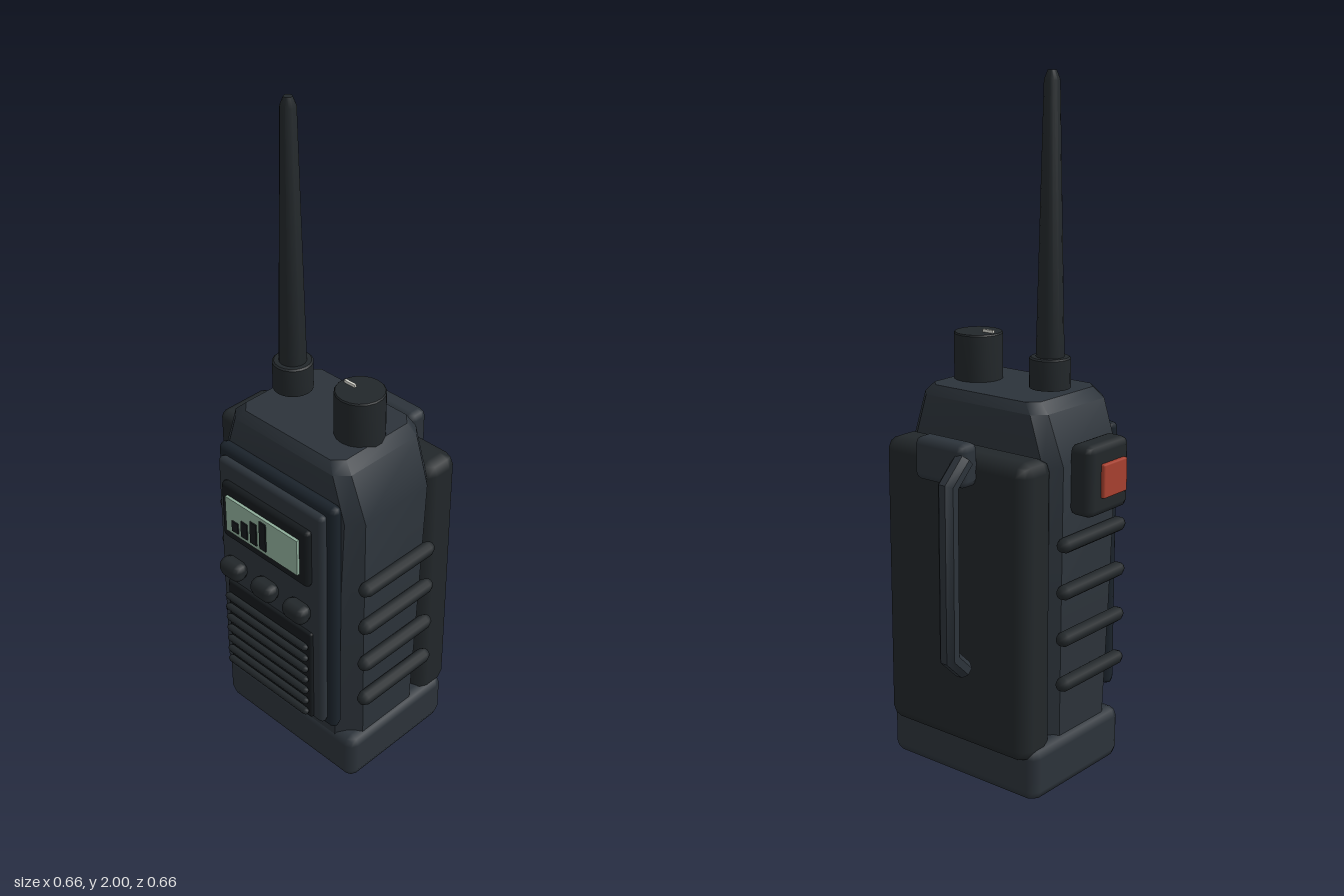
import * as THREE from 'three';
import { toCreasedNormals } from 'three/addons/utils/BufferGeometryUtils.js';
import { RoundedBoxGeometry } from 'three/addons/geometries/RoundedBoxGeometry.js';

const mat = (color) => new THREE.MeshStandardMaterial({ color });
const CX = 0.025; // centre line of the case

export function createModel() {
  const model = new THREE.Group();
  model.name = 'handheldRadio';
  const shell = mat(0x2c333a), dark = mat(0x22272a), panel = mat(0x1b232b);
  const black = mat(0x15191c), green = mat(0x8fae9b), red = mat(0xa8402f), white = mat(0xd8d8d0);

  const add = (name, geometry, material) => {
    const mesh = new THREE.Mesh(geometry, material);
    mesh.name = name;
    model.add(mesh);
    return mesh;
  };
  // Box given by its extents, with chamfered edges of size r
  const block = (name, [x0, x1], [y0, y1], [z0, z1], r, material) => {
    const size = [x1 - x0, y1 - y0, z1 - z0];
    const geo = r ? new RoundedBoxGeometry(...size, 1, r) : new THREE.BoxGeometry(...size);
    geo.translate((x0 + x1) / 2, (y0 + y1) / 2, (z0 + z1) / 2);
    return add(name, geo, material);
  };
  // Turned part standing at x, z
  const turned = (name, profile, sides, x, z, material) => {
    const geo = new THREE.LatheGeometry(profile.map(([r, y]) => new THREE.Vector2(r, y)), sides);
    return add(name, toCreasedNormals(geo, 0.6).translate(x, 0, z), material);
  };

  // Case: chamfered rectangles lofted upward, [y, half width, zBack, zFront, chamfer]
  add('body', loft([
    [0.1, 0, 0.06, 0.06, 0],
    [0.1, 0.252, -0.1, 0.222, 0.06],
    [0.5, 0.262, -0.1, 0.225, 0.05],
    [0.96, 0.273, -0.1, 0.225, 0.04],
    [1.1, 0.224, -0.1, 0.225, 0.035],
    [1.13, 0.193, -0.088, 0.208, 0.03],
    [1.13, 0, 0.06, 0.06, 0],
  ]), shell);
  block('baseCap', [-0.248, 0.294], [0, 0.16], [-0.18, 0.228], 0.03, shell);
  block('batteryPack', [-0.235, 0.285], [0.12, 0.99], [-0.206, -0.08], 0.038, dark);

  // Stepped front panel
  block('frontPanel', [-0.205, 0.253], [0.21, 1.02], [0.222, 0.26], 0.018, panel);
  block('frontPlate', [-0.18, 0.23], [0.235, 0.995], [0.255, 0.284], 0.014, shell);

  // Display with signal bars
  block('screenBezel', [-0.148, 0.195], [0.745, 0.937], [0.278, 0.304], 0.012, black);
  block('screen', [-0.12, 0.165], [0.783, 0.902], [0.295, 0.313], 0, green);
  [0.832, 0.85, 0.87, 0.891].forEach((top, i) => {
    const x = -0.093 + i * 0.0375;
    block('signalBar', [x, x + 0.025], [0.797, top], [0.31, 0.317], 0, black);
  });

  // Key row
  for (const x of [-0.107, 0.023, 0.152]) {
    block('key', [x - 0.042, x + 0.042], [0.615, 0.672], [0.28, 0.332], 0.02, dark);
  }

  // Speaker grille
  block('grillePlate', [-0.148, 0.195], [0.245, 0.57], [0.278, 0.294], 0.006, black);
  for (let i = 0; i < 7; i++) {
    const slat = new THREE.CapsuleGeometry(0.011, 0.315, 2, 8).rotateZ(Math.PI / 2);
    add('grilleSlat', slat.translate(CX, 0.275 + i * 0.0417, 0.306), dark);
  }

  // Side grip ribs
  for (const side of [-1, 1]) {
    for (const y of [0.33, 0.465, 0.603, 0.74]) {
      const rib = new THREE.CapsuleGeometry(0.022, 0.25, 2, 10).rotateX(Math.PI / 2);
      add('gripRib', rib.translate(CX + side * 0.281, y, 0.063), dark);
    }
  }

  // Talk button
  block('talkButtonHousing', [-0.318, -0.24], [0.815, 1.02], [-0.03, 0.152], 0.022, dark);
  block('talkButton', [-0.33, -0.305], [0.868, 0.965], [0.017, 0.125], 0.005, red);

  // Aerial
  turned('antennaCollar', [[0, 1.145], [0.058, 1.145], [0.058, 1.228], [0.053, 1.232], [0, 1.232]],
    20, -0.118, 0.045, dark);
  turned('antenna', [[0, 1.22], [0.04, 1.22], [0.022, 1.975], [0.012, 2], [0, 2]],
    14, -0.118, 0.045, dark);

  // Volume knob
  turned('knob', [[0, 1.12], [0.071, 1.12], [0.071, 1.262], [0.068, 1.266], [0, 1.266]],
    18, 0.156, 0.062, dark);
  block('knobMark', [0.1, 0.138], [1.26, 1.274], [0.058, 0.066], 0, white);

  // Belt clip
  block('clipMount', [-0.066, 0.115], [0.905, 1.03], [-0.264, -0.195], 0.022, shell);
  const path = new THREE.CurvePath();
  const points = [[0.985, -0.243], [0.925, -0.306], [0.435, -0.306], [0.383, -0.252]]
    .map(([y, z]) => new THREE.Vector3(-0.05, y, z));
  for (let i = 0; i < 3; i++) path.add(new THREE.LineCurve3(points[i], points[i + 1]));
  add('clipArm', clipBar(points, 0.027, 0.025), shell);

  return model;
}

// Joins rings of equal length (counted from +x towards +z, stacked upward) into a skin
function skin(rings, crease) {
  const n = rings[0].length, index = [];
  for (let i = 0; i < rings.length - 1; i++) {
    for (let j = 0; j < n; j++) {
      const a = i * n + j, b = i * n + (j + 1) % n;
      index.push(a, a + n, b, b, a + n, b + n);
    }
  }
  const geo = new THREE.BufferGeometry();
  geo.setAttribute('position', new THREE.Float32BufferAttribute(rings.flat(2), 3));
  geo.setIndex(index);
  return toCreasedNormals(geo, crease);
}

// Case loft from eight-sided sections
function loft(sections) {
  return skin(sections.map(([y, w, z0, z1, c]) => [
    [w, z0 + c], [w, z1 - c], [w - c, z1], [c - w, z1],
    [-w, z1 - c], [-w, z0 + c], [c - w, z0], [w - c, z0],
  ].map(([x, z]) => [CX + x, y, z])), 0.75);
}

// Eight-sided bar following points in the y-z plane, mitred at the bends
function clipBar(points, halfWidth, halfDepth) {
  const pts = [...points].reverse(), last = pts.length - 1;
  const rings = pts.map((p, i) => {
    const before = p.clone().sub(pts[Math.max(i - 1, 0)]).normalize();
    const after = pts[Math.min(i + 1, last)].clone().sub(p).normalize();
    const t = before.clone().add(after).normalize();
    const miter = halfDepth / t.dot(i < last ? after : before);
    return Array.from({ length: 8 }, (_, k) => {
      const a = (k + 0.5) * Math.PI / 4, s = 1 / Math.cos(Math.PI / 8);
      const u = Math.cos(a) * s * halfWidth, v = Math.sin(a) * s * miter;
      return [p.x + u, p.y - t.z * v, p.z + t.y * v];
    });
  });
  const cap = (p) => Array.from({ length: 8 }, () => p.toArray());
  return skin([cap(pts[0]), ...rings, cap(pts[last])], 0.6);
}
